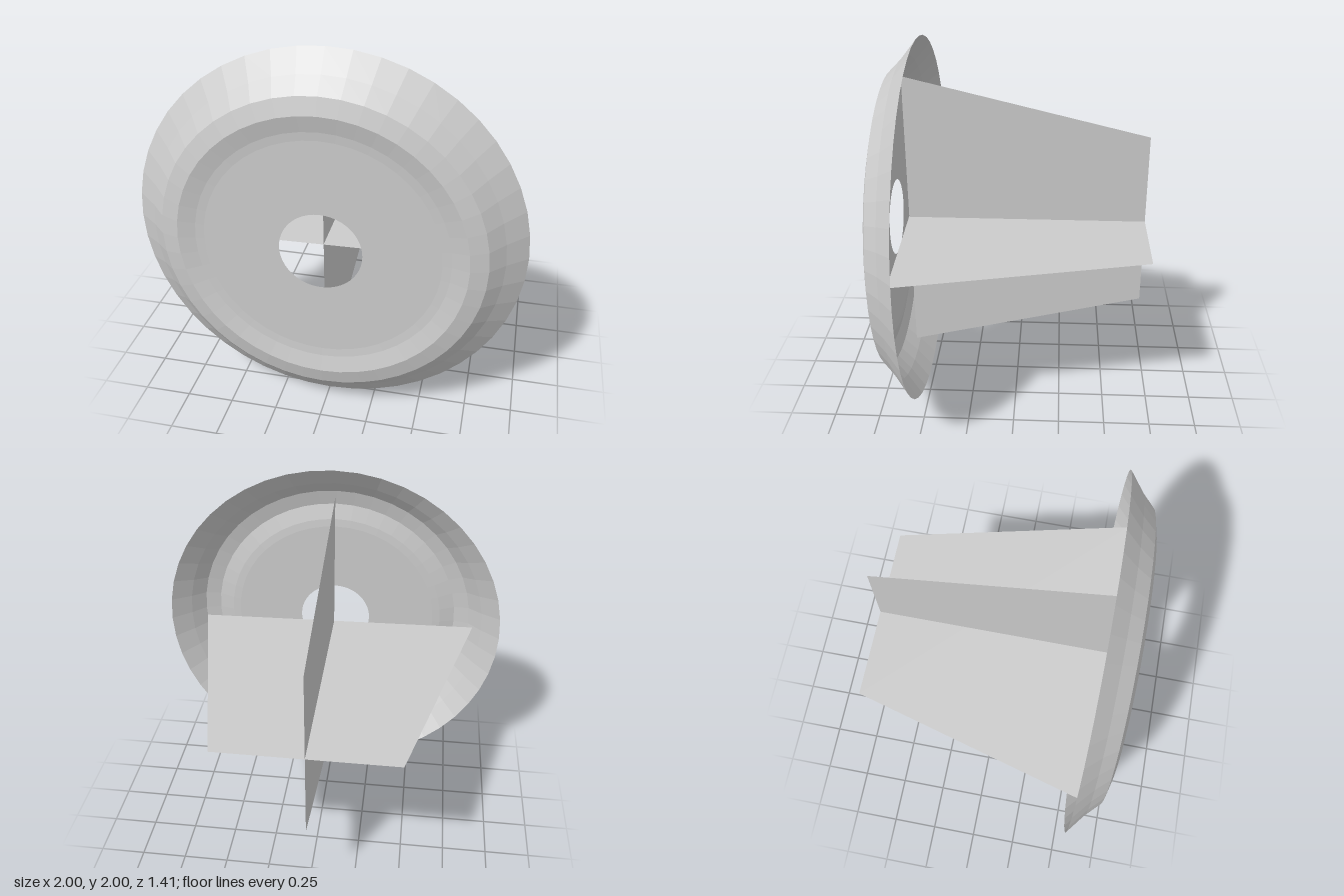
import * as THREE from 'three';

export function createModel() {
  const model = new THREE.Group();
  const material = new THREE.MeshStandardMaterial({
    color: 0xcccccc, flatShading: true, side: THREE.DoubleSide,
  });
  const add = (name, geometry) => {
    const mesh = new THREE.Mesh(geometry, material);
    mesh.name = name;
    mesh.position.y = 1;
    model.add(mesh);
    return mesh;
  };

  // Thin dished disc with a raised ring and a centre hole: [radius, z]
  const profile = [
    [1, 0.525], [0.895, 0.608], [0.82, 0.682], [0.732, 0.705],
    [0.645, 0.684], [0.6, 0.68], [0.21, 0.68],
  ].map(([r, z]) => new THREE.Vector2(r, z));
  add('dishedDisc', new THREE.LatheGeometry(profile, 48).rotateX(Math.PI / 2));

  // Two crossed tapering fins behind the disc, corners as [across, z]
  const fin = (corners) =>
    new THREE.ShapeGeometry(new THREE.Shape(corners.map(([a, z]) => new THREE.Vector2(a, z))))
      .rotateX(Math.PI / 2);

  add('horizontalFin', fin([[-0.487, -0.705], [0.487, -0.705], [0.79, 0.59], [-0.845, 0.635]]));
  add('verticalFin', fin([[-0.495, -0.705], [0.495, -0.705], [0.81, 0.61], [-0.81, 0.61]]))
    .rotation.z = Math.PI / 2;

  return model;
}
